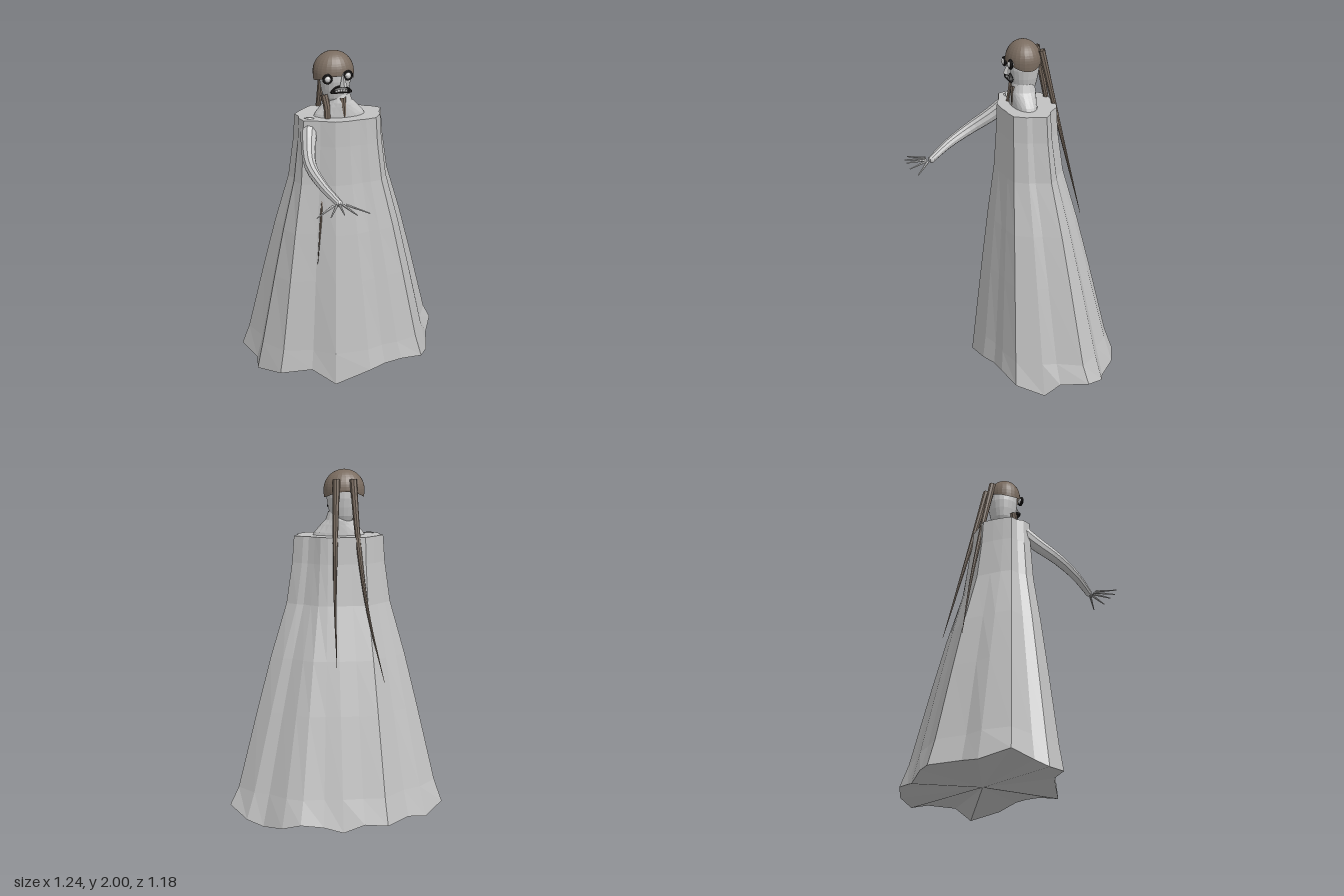
import * as THREE from 'three';

const material = (name, color, extra = {}) => {
  const m = new THREE.MeshStandardMaterial({ color, flatShading: true, ...extra });
  m.name = name;
  return m;
};

// Robe folds: hem x, hem y, hem z, collar x, collar z
const FOLDS = [
  [-0.25, 0.05, -0.59, -0.16, -0.26], [-0.12, 0.06, -0.585, -0.08, -0.26], [0, 0.02, -0.59, 0, -0.26],
  [0.11, 0.05, -0.575, 0.05, -0.255], [0.24, 0.07, -0.58, 0.09, -0.24], [0.34, 0.04, -0.54, 0.12, -0.21],
  [0.44, 0.02, -0.44, 0.15, -0.185], [0.53, 0.05, -0.40, 0.18, -0.175],
  [0.62, 0.1, -0.28, 0.23, -0.135], [0.55, 0.08, -0.13, 0.2, -0.06],
  [0.53, 0.01, -0.04, 0.2, -0.03], [0.45, 0.06, 0.11, 0.16, 0.035],
  [0.31, 0.085, 0.155, 0.1, 0.048], [0.2, 0.075, 0.17, 0.06, 0.05], [0.10, 0.065, 0.21, 0, 0.06],
  [-0.12, 0, 0.22, -0.08, 0.06], [-0.25, 0.07, 0.135, -0.16, 0.025],
  [-0.44, 0.05, 0.10, -0.25, 0], [-0.56, 0.02, -0.04, -0.27, -0.05],
  [-0.55, 0.05, -0.12, -0.265, -0.09], [-0.62, 0.07, -0.28, -0.28, -0.13],
  [-0.5, 0.03, -0.41, -0.25, -0.17], [-0.39, 0.05, -0.455, -0.21, -0.215],
];
// Flare amount and height of each robe ring; the last one is the hem
const RINGS = [[0, 1.63], [0.03, 1.48], [0.12, 1.25], [0.36, 0.95], [0.57, 0.65], [0.87, 0.2], [1, null]];

function robeGeometry() {
  const n = FOLDS.length, pos = [], idx = [];
  for (const [f, y] of RINGS) {
    for (const [hx, hy, hz, cx, cz] of FOLDS) {
      pos.push(cx + (hx - cx) * f, y ?? hy, cz + (hz - cz) * f);
    }
  }
  for (let r = 0; r < RINGS.length - 1; r++) {
    for (let i = 0; i < n; i++) {
      const a = r * n + i, b = r * n + (i + 1) % n;
      idx.push(a, b, a + n, b, b + n, a + n);
    }
  }
  // Collar and underside caps
  const top = pos.length / 3, bottom = top + 1, last = (RINGS.length - 1) * n;
  pos.push(-0.03, 1.627, -0.1, 0, 0.05, -0.18);
  for (let i = 0; i < n; i++) {
    const j = (i + 1) % n;
    idx.push(top, j, i, bottom, last + i, last + j);
  }
  const g = new THREE.BufferGeometry();
  g.setAttribute('position', new THREE.Float32BufferAttribute(pos, 3));
  g.setIndex(idx);
  g.computeVertexNormals();
  return g;
}

// Applies a rule to every vertex of a geometry
function reshape(g, rule) {
  const pos = g.attributes.position, v = new THREE.Vector3();
  for (let k = 0; k < pos.count; k++) {
    rule(v.fromBufferAttribute(pos, k), k);
    pos.setXYZ(k, v.x, v.y, v.z);
  }
  g.computeVertexNormals();
  return g;
}

// Tube along points whose radius runs from r0 to r1
function taperedTube(points, r0, r1, sides = 8, segments = 14) {
  const curve = new THREE.CatmullRomCurve3(points.map((p) => new THREE.Vector3(...p)));
  return reshape(new THREE.TubeGeometry(curve, segments, 1, sides), (v, k) => {
    const t = Math.floor(k / (sides + 1)) / segments, c = curve.getPointAt(t);
    v.sub(c).multiplyScalar(r0 + (r1 - r0) * t).add(c);
  });
}

const lathe = (points, sides) =>
  new THREE.LatheGeometry(points.map(([r, y]) => new THREE.Vector2(r, y)), sides);

export function createModel() {
  const robeGrey = material('robeGrey', 0xc2c2c2, { side: THREE.DoubleSide });
  const skin = material('skinGrey', 0xc6c6c6, { side: THREE.DoubleSide });
  const hair = material('hairBrown', 0x7a6c60, { side: THREE.DoubleSide });
  const black = material('black', 0x1c1a1a);
  const white = material('paleWhite', 0xd0d0d0);

  const model = new THREE.Group();
  model.name = 'robedFigure';
  const add = (name, geometry, mat, x = 0, y = 0, z = 0) => {
    const mesh = new THREE.Mesh(geometry, mat);
    mesh.name = name;
    mesh.position.set(x, y, z);
    model.add(mesh);
    return mesh;
  };

  add('robe', robeGeometry(), robeGrey);

  // Neck, flattened front and back where it spreads into the shoulders
  const neck = lathe([[0.155, 1.615], [0.14, 1.645], [0.1, 1.69], [0.075, 1.715], [0.06, 1.76]], 20);
  add('neck', reshape(neck, (v) => { v.z *= Math.min(1, 0.072 / Math.hypot(v.x, v.z)); }), skin, -0.03, 0, -0.08);

  // Head, with a hair cap that hangs lower over the ears
  add('head', lathe([[0, 1.7], [0.055, 1.71], [0.07, 1.74], [0.082, 1.79], [0.09, 1.84], [0.09, 1.9], [0, 1.95]], 20), skin, -0.05, 0, -0.09);
  const cap = new THREE.SphereGeometry(1, 24, 14, 0, Math.PI * 2, 0, Math.PI * 0.57);
  add('hairCap', reshape(cap, (v) => { if (v.y < 0) v.y *= 0.3 + 1.5 * v.x * v.x; }), hair, -0.06, 1.885, -0.09)
    .scale.set(0.117, 0.115, 0.101);

  // Eyes with dark rims
  for (const [x, y] of [[-0.113, 1.865], [0.003, 1.88]]) {
    add('eye', new THREE.SphereGeometry(0.019, 12, 8), white, x, y, 0.004);
    add('eyeRim', new THREE.TorusGeometry(0.022, 0.008, 6, 14), black, x, y, 0.004);
  }

  // Nose
  const nose = add('nose', new THREE.ConeGeometry(0.022, 0.09, 4), skin, -0.025, 1.862, 0.01);
  nose.rotation.x = -0.2;

  // Mouth with drooping corners, and teeth
  add('mouth', new THREE.SphereGeometry(1, 12, 8), black, -0.035, 1.793, -0.005).scale.set(0.05, 0.018, 0.012);
  const lips = new THREE.TorusGeometry(0.052, 0.011, 6, 18);
  add('lips', reshape(lips, (v) => { v.y = v.y * 0.36 - 4 * v.x * v.x + 0.006; }), black, -0.035, 1.795, 0.003);
  for (let i = -2; i <= 2; i++) {
    add('tooth', new THREE.BoxGeometry(0.012, 0.01, 0.008), white, -0.035 + i * 0.014, 1.796 - i * i * 0.001, 0.006);
  }

  // Beard strands
  add('longBeardStrand', taperedTube([[-0.122, 1.76, -0.05], [-0.108, 1.67, -0.03], [-0.145, 1.28, 0.03], [-0.2, 0.77, 0.1]], 0.021, 0.001), hair);
  add('shortBeardStrand', taperedTube([[-0.022, 1.745, -0.025], [-0.015, 1.68, -0.018], [-0.012, 1.56, -0.02]], 0.02, 0.004), hair);

  // Long braids down the back
  add('rightBraid', taperedTube([[-0.1, 1.945, -0.18], [-0.12, 1.6, -0.255], [-0.165, 1.22, -0.335], [-0.25, 0.83, -0.415]], 0.021, 0.001), hair);
  add('leftBraid', taperedTube([[-0.005, 1.945, -0.18], [0.01, 1.6, -0.26], [0.02, 1.25, -0.345], [0.02, 0.915, -0.43]], 0.021, 0.001), hair);

  // Outstretched right arm with five thin fingers
  add('arm', taperedTube([[-0.205, 1.6, -0.06], [-0.235, 1.51, 0.05], [-0.25, 1.43, 0.18], [-0.21, 1.365, 0.32], [-0.145, 1.305, 0.44]], 0.05, 0.02, 10), skin);
  add('wrist', new THREE.SphereGeometry(0.02, 10, 6), skin, -0.145, 1.305, 0.436);
  const tips = [[-0.29, 0.55], [-0.22, 0.58], [-0.147, 0.585], [-0.077, 0.58], [0, 0.55]];
  tips.forEach(([x, z], i) => {
    const bend = Math.abs(i - 2) * 0.01;
    add('finger', taperedTube([[-0.147 + (i - 2) * 0.018, 1.305, 0.468], [x, 1.3 - bend, z]], 0.008, 0.003, 6, 3), skin);
  });

  return model;
}
